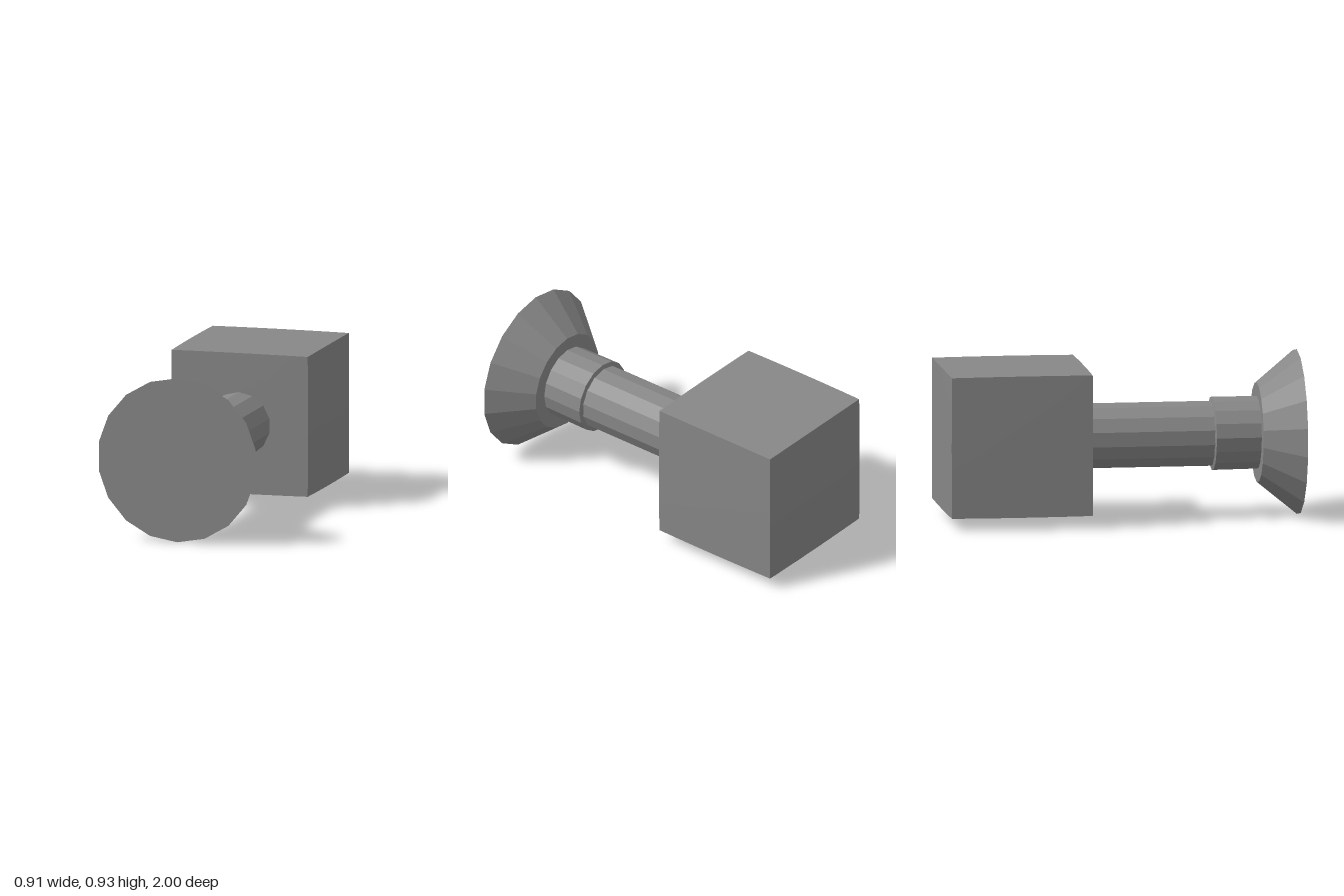
import * as THREE from 'three';

const CENTER_Y = 0.465;

// Faceted solid of revolution along z; profile is [radius, z] with z increasing.
function turned(name, sides, profile, material) {
  const points = profile.map(([r, z]) => new THREE.Vector2(r, z));
  const geometry = new THREE.LatheGeometry(points, sides);
  geometry.rotateX(Math.PI / 2);
  const mesh = new THREE.Mesh(geometry, material);
  mesh.name = name;
  mesh.position.y = CENTER_Y;
  return mesh;
}

// Cube whose sides swell very slightly towards the middle.
function swollenBlock(size, swell) {
  const geometry = new THREE.BoxGeometry(size, size, size, 6, 6, 6);
  const pos = geometry.attributes.position;
  const p = new THREE.Vector3();
  const half = size / 2;
  for (let i = 0; i < pos.count; i++) {
    p.fromBufferAttribute(pos, i);
    const [x, y, z] = p.toArray().map((v) => (v / half) ** 2);
    pos.setXYZ(
      i,
      p.x * (1 - swell * (y + z) / 2),
      p.y * (1 - swell * (x + z) / 2),
      p.z * (1 - swell * (x + y) / 2)
    );
  }
  geometry.computeVertexNormals();
  return geometry;
}

export function createModel() {
  const group = new THREE.Group();
  group.name = 'plungerWithBlock';
  const color = 0x878787;
  const faceted = new THREE.MeshStandardMaterial({ color, flatShading: true });
  const smooth = new THREE.MeshStandardMaterial({ color });

  // Rear block
  const block = new THREE.Mesh(swollenBlock(0.8, 0.01), smooth);
  block.name = 'block';
  block.position.set(0, 0.468, -0.6);
  group.add(block);

  // Shaft, with a small bevel where it meets the block
  group.add(turned('shaft', 14, [
    [0, -0.21], [0.17, -0.21], [0.17, -0.2], [0.183, -0.185], [0.183, 0.53], [0, 0.53],
  ], faceted));

  // Collar, with a slightly sloped rear rim
  group.add(turned('collar', 16, [
    [0, 0.515], [0.18, 0.515], [0.207, 0.522], [0.204, 0.78], [0, 0.78],
  ], faceted));

  // Flared front disc
  group.add(turned('flaredDisc', 18, [
    [0, 0.775], [0.28, 0.775], [0.464, 1], [0, 1],
  ], faceted));

  return group;
}
